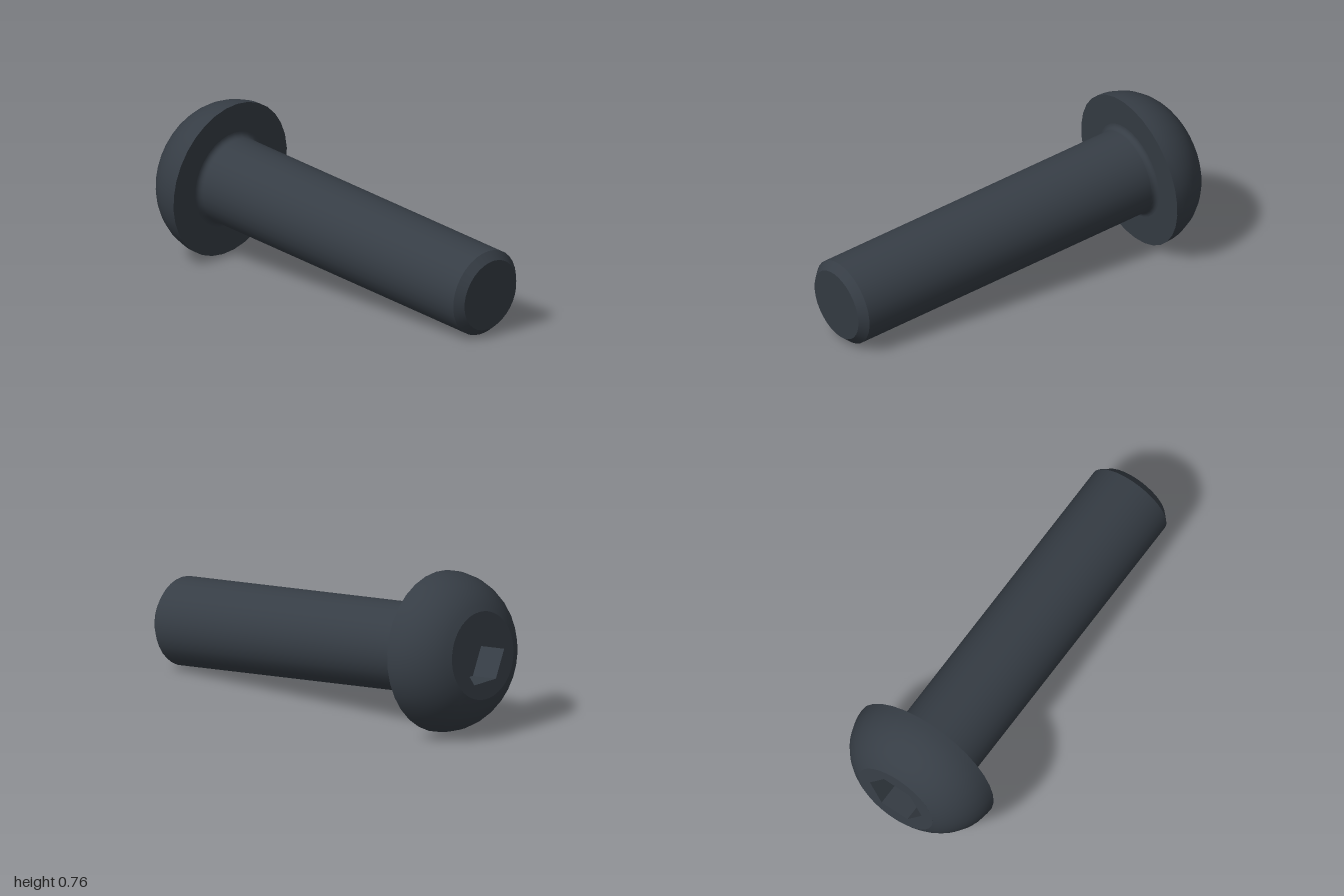
import * as THREE from 'three';

const SEGMENTS = 32;
const RIM = 0.383, SHAFT = 0.212, TIP = 0.175;   // radii
const HEAD = 0.257, FACE = 0.21;                 // head height, flat end radius
const SOCKET = 0.148, DEPTH = 0.15;              // hex socket
const CHAMFER_Y = 1.67, TIP_Y = 1.708;

// points on a circular arc as lathe profile points
function arc(cx, cy, r, from, to, steps) {
  return Array.from({ length: steps + 1 }, (_, i) => {
    const a = from + (to - from) * i / steps;
    return [cx + r * Math.cos(a), cy + r * Math.sin(a)];
  });
}

export function createModel() {
  const steel = new THREE.MeshStandardMaterial({ color: 0x363d45 });
  steel.name = 'dark steel';
  const bolt = new THREE.Group();
  bolt.name = 'bolt';

  const add = (name, geometry) => {
    const mesh = new THREE.Mesh(geometry, steel);
    mesh.name = name;
    bolt.add(mesh);
  };
  // each smooth stretch is its own lathe, so the edges between them stay sharp
  const turn = (name, points) =>
    add(name, new THREE.LatheGeometry(points.map(([r, y]) => new THREE.Vector2(r, y)), SEGMENTS));

  // domed head, rim at y = 0
  const c = (RIM ** 2 - FACE ** 2 - HEAD ** 2) / (2 * (RIM - FACE));
  turn('headDome', arc(c, 0, RIM - c, -Math.atan2(HEAD, FACE - c), 0, 10));
  turn('headUnderside', [[RIM, 0], [SHAFT + 0.025, 0]]);

  // shaft with a small root fillet and a chamfered tip
  turn('shaftFillet', arc(SHAFT + 0.025, 0.025, 0.025, -Math.PI / 2, -Math.PI, 5));
  turn('shaft', [[SHAFT, 0.025], [SHAFT, CHAMFER_Y]]);
  turn('tipChamfer', [[SHAFT, CHAMFER_Y], [TIP, TIP_Y]]);
  turn('tipFace', [[TIP, TIP_Y], [0, TIP_Y]]);

  // flat head face with the hexagonal socket walls
  const face = new THREE.Shape().absarc(0, 0, FACE, 0, Math.PI * 2);
  const hex = Array.from({ length: 6 }, (_, i) => {
    const a = Math.PI / 2 + i * Math.PI / 3;
    return new THREE.Vector2(SOCKET * Math.cos(a), SOCKET * Math.sin(a));
  });
  face.holes.push(new THREE.Path(hex));
  const socket = new THREE.ExtrudeGeometry(face, { depth: DEPTH, bevelEnabled: false, curveSegments: SEGMENTS });
  add('headFaceAndSocket', socket.rotateX(Math.PI / 2).translate(0, DEPTH - HEAD, 0));
  const floor = new THREE.CircleGeometry(SOCKET, 6, Math.PI / 2);
  add('socketFloor', floor.rotateX(Math.PI / 2).translate(0, DEPTH - HEAD, 0));

  // lay the bolt down along its tilted axis
  const y = new THREE.Vector3(0.973, -0.102, 0.2066).normalize();
  const z = new THREE.Vector3(0, 0, 1).addScaledVector(y, -y.z).normalize();
  const x = new THREE.Vector3().crossVectors(y, z);
  bolt.quaternion.setFromRotationMatrix(new THREE.Matrix4().makeBasis(x, y, z));
  bolt.position.set(-0.703, 0.383, -0.09);

  const model = new THREE.Group();
  model.name = 'buttonHeadBolt';
  model.add(bolt);
  return model;
}
